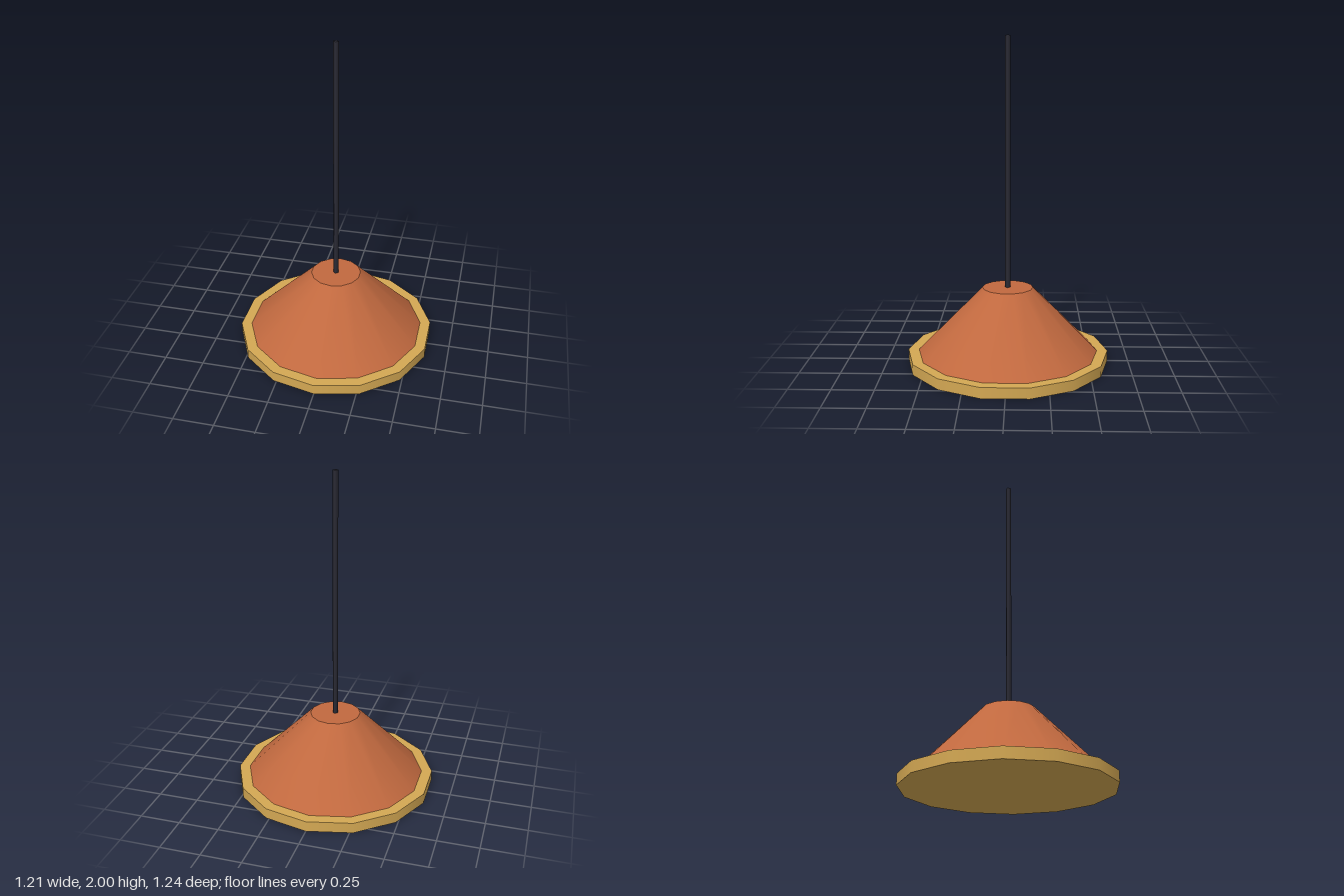
import * as THREE from 'three';

const brass = new THREE.MeshStandardMaterial({ name: 'brass', color: 0xd4a853 });
const terracotta = new THREE.MeshStandardMaterial({ name: 'terracotta', color: 0xc1693f });
const darkCord = new THREE.MeshStandardMaterial({ name: 'dark cord', color: 0x2b2b35 });

// Closed upright cylinder or cone frustum between two heights
function frustum(name, material, topRadius, bottomRadius, bottom, top, sides) {
  const geometry = new THREE.CylinderGeometry(topRadius, bottomRadius, top - bottom, sides);
  const mesh = new THREE.Mesh(geometry, material);
  mesh.name = name;
  mesh.position.y = (bottom + top) / 2;
  return mesh;
}

export function createModel() {
  const lamp = new THREE.Group();
  lamp.name = 'pendantLamp';
  lamp.add(
    // Flat band around the bottom of the shade
    frustum('rim', brass, 0.622, 0.622, 0, 0.066, 14),
    // Sloping shade
    frustum('shade', terracotta, 0.156, 0.556, 0.066, 0.472, 14),
    // Four-sided hanging cord
    frustum('cord', darkCord, 0.017, 0.017, 0.472, 2, 4),
  );
  return lamp;
}
